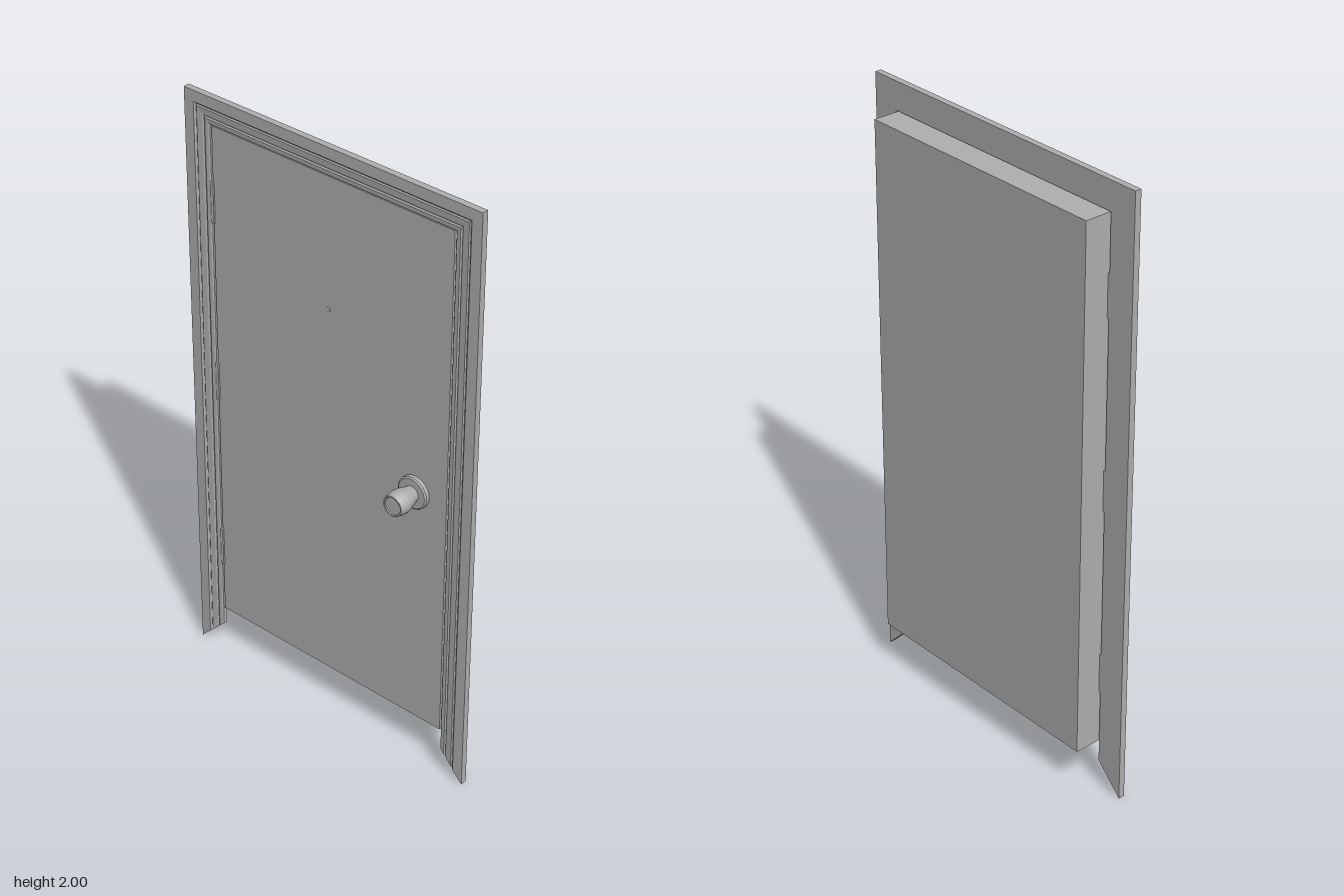
import * as THREE from 'three';

const grey = new THREE.MeshStandardMaterial({ color: 0xb0b0b0 });
grey.name = 'plain grey';

const DOOR_FRONT = -0.003;

function add(parent, name, geometry, x = 0, y = 0, z = 0) {
  const mesh = new THREE.Mesh(geometry, grey);
  mesh.name = name;
  mesh.position.set(x, y, z);
  parent.add(mesh);
  return mesh;
}

// Moulded casing: one cross-section swept up, across and down with mitred ends
function casingGeometry() {
  // [inset from the outer edge, z], counter-clockwise
  const profile = [
    [0, -0.016], [0.092, -0.016], [0.092, -0.003], [0.088, 0], [0.076, 0.001],
    [0.071, -0.002], [0.066, 0.001], [0.046, 0.003], [0.042, 0], [0.036, 0.005], [0, 0.005],
  ].map(([d, z]) => new THREE.Vector2(d, z));
  const stations = [
    (d) => [d - 0.548, d],
    (d) => [d - 0.548, 2 - d],
    (d) => [0.548 - d, 2 - d],
    (d) => [0.548 - d, d],
  ];
  const rings = stations.map((at) => profile.map((p) => [...at(p.x), p.y]));
  const positions = [];
  const tri = (a, b, c) => positions.push(...a, ...b, ...c);
  for (let k = 0; k < 3; k++) {
    profile.forEach((_, i) => {
      const j = (i + 1) % profile.length;
      tri(rings[k][i], rings[k + 1][i], rings[k + 1][j]);
      tri(rings[k][i], rings[k + 1][j], rings[k][j]);
    });
  }
  // Mitred feet
  for (const [a, b, c] of THREE.ShapeUtils.triangulateShape(profile, [])) {
    tri(rings[0][a], rings[0][b], rings[0][c]);
    tri(rings[3][a], rings[3][c], rings[3][b]);
  }
  const geometry = new THREE.BufferGeometry();
  geometry.setAttribute('position', new THREE.Float32BufferAttribute(positions, 3));
  geometry.computeVertexNormals();
  return geometry;
}

// Turned part whose axis points out of the door; points are [radius, z]
function turned(points, sides = 24) {
  const geometry = new THREE.LatheGeometry(points.map(([r, z]) => new THREE.Vector2(r, z)), sides);
  geometry.rotateX(Math.PI / 2);
  const flat = geometry.toNonIndexed();
  flat.computeVertexNormals();
  return flat;
}

export function createModel() {
  const model = new THREE.Group();
  model.name = 'door';

  add(model, 'casing', casingGeometry());

  // Door leaf
  const depth = DOOR_FRONT + 0.1;
  add(model, 'doorLeaf', new THREE.BoxGeometry(0.9, 1.745, depth), 0, 1.0325, DOOR_FRONT - depth / 2);

  // Hinges on the door's right edge
  for (const y of [0.407, 1.035, 1.655]) {
    add(model, 'hinge', new THREE.BoxGeometry(0.011, 0.135, 0.018), -0.451, y, -0.007);
  }

  // Peephole
  add(model, 'peephole', turned([[0.008, 0], [0.008, 0.002], [0.005, 0.003], [0, 0.002]], 12), -0.003, 1.473, DOOR_FRONT);

  // Knob with its rosette
  const handle = new THREE.Group();
  handle.name = 'handle';
  handle.position.set(0.332, 0.995, 0);
  model.add(handle);
  add(handle, 'rosette', turned([[0.054, DOOR_FRONT], [0.054, 0.009], [0.049, 0.013], [0, 0.013]]));
  add(handle, 'knob', turned([
    [0.026, 0.012], [0.029, 0.025], [0.036, 0.048], [0.039, 0.065],
    [0.037, 0.082], [0.034, 0.098], [0.03, 0.098], [0.028, 0.095], [0, 0.095],
  ]));

  return model;
}
